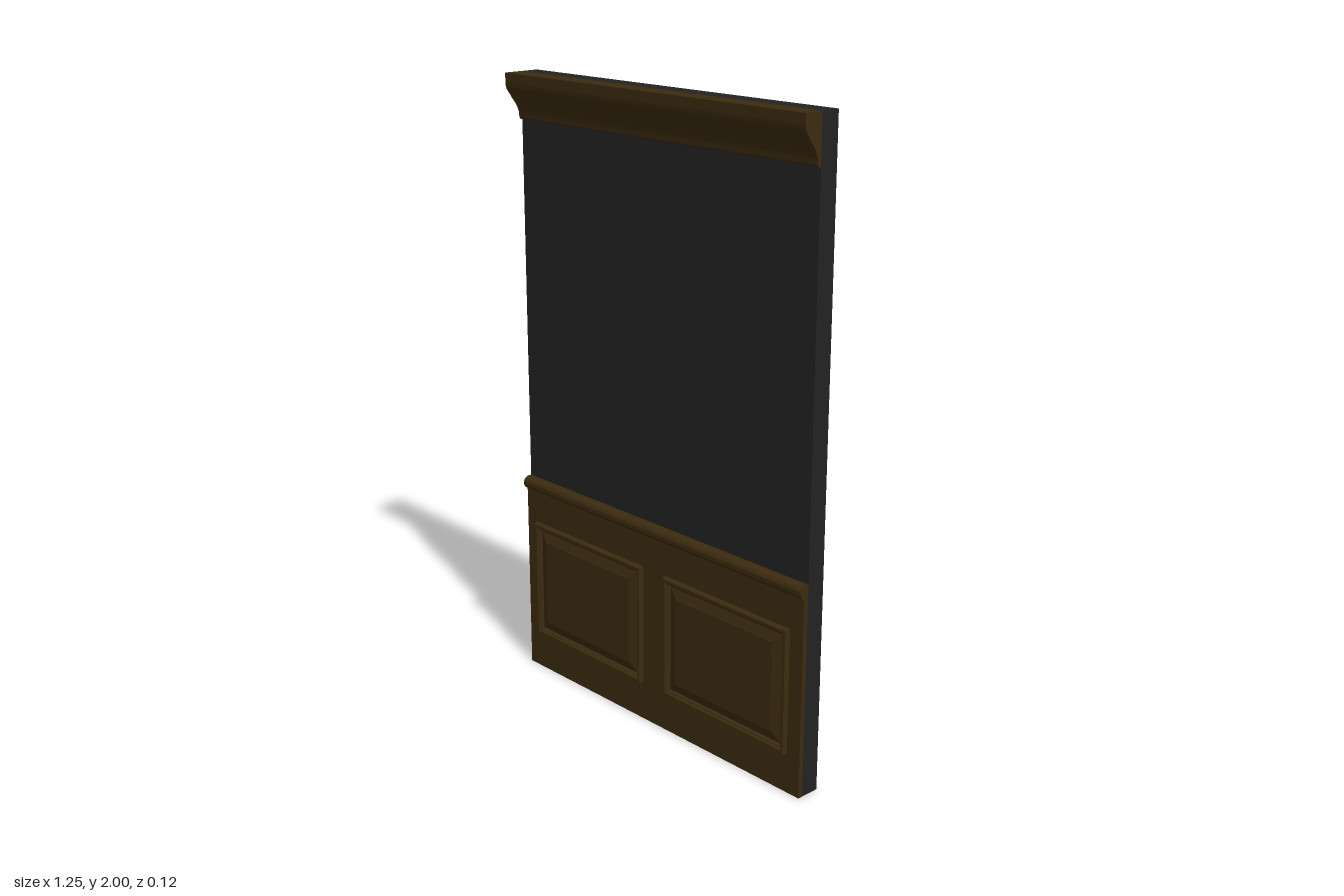
import * as THREE from 'three';
import { toCreasedNormals } from 'three/addons/utils/BufferGeometryUtils.js';

const HALF = 0.623; // half the wall width

// Extrude a (z, y) profile along the whole width
function moulding(shape) {
  const geo = new THREE.ExtrudeGeometry(shape, { depth: 2 * HALF, bevelEnabled: false, curveSegments: 10 });
  geo.rotateY(-Math.PI / 2).translate(HALF, 0, 0);
  return toCreasedNormals(geo, 0.6);
}

// Mitred rectangular panel from steps of [inset, z], closed by a flat field
function steppedPanel(width, height, steps) {
  const pos = [];
  const corners = ([inset, z]) => {
    const w = width / 2 - inset, h = height / 2 - inset;
    return [[-w, -h, z], [w, -h, z], [w, h, z], [-w, h, z]];
  };
  const quad = (a, b, c, d) => pos.push(...a, ...b, ...c, ...a, ...c, ...d);
  for (let i = 0; i < steps.length - 1; i++) {
    const outer = corners(steps[i]), inner = corners(steps[i + 1]);
    for (let k = 0; k < 4; k++) {
      const n = (k + 1) % 4;
      quad(outer[k], outer[n], inner[n], inner[k]);
    }
  }
  quad(...corners(steps[steps.length - 1]));
  const geo = new THREE.BufferGeometry();
  geo.setAttribute('position', new THREE.Float32BufferAttribute(pos, 3));
  geo.computeVertexNormals();
  return geo;
}

export function createModel() {
  const group = new THREE.Group();
  const plaster = new THREE.MeshStandardMaterial({ name: 'charcoal wall', color: 0x232323 });
  const wood = new THREE.MeshStandardMaterial({ name: 'dark wood', color: 0x3c2b0f });

  const add = (name, geo, mat, x = 0, y = 0, z = 0) => {
    const mesh = new THREE.Mesh(geo, mat);
    mesh.name = name;
    mesh.position.set(x, y, z);
    group.add(mesh);
  };

  // Wall slab and lower wainscot board
  add('wall', new THREE.BoxGeometry(2 * HALF, 2, 0.0625), plaster, 0, 1, -0.03125);
  add('wainscotBoard', new THREE.BoxGeometry(2 * HALF, 0.64, 0.016), wood, 0, 0.32, 0.008);

  // Chair rail: rounded nose over a small cove
  const rail = new THREE.Shape();
  rail.moveTo(0, 0.627);
  rail.lineTo(0.018, 0.627);
  rail.lineTo(0.018, 0.634);
  rail.absarc(0.01, 0.655, 0.0215, -1.19, Math.PI / 2, false);
  rail.lineTo(0, 0.6765);
  add('chairRail', moulding(rail), wood);

  // Crown moulding: bead, S-curve and flat top fascia
  const crown = new THREE.Shape();
  crown.moveTo(0, 1.853);
  crown.quadraticCurveTo(0.012, 1.853, 0.012, 1.866);
  crown.lineTo(0.012, 1.874);
  crown.bezierCurveTo(0.02, 1.905, 0.036, 1.915, 0.044, 1.93);
  crown.bezierCurveTo(0.053, 1.944, 0.0625, 1.95, 0.0625, 1.972);
  crown.lineTo(0.0625, 2);
  crown.lineTo(0, 2);
  add('crownMoulding', moulding(crown), wood);

  // Two raised panels, each with a moulded frame and bevelled field
  const steps = [
    [0, 0.015], [0, 0.027], [0.004, 0.032], [0.012, 0.032], [0.016, 0.027],
    [0.02, 0.025], [0.024, 0.018], [0.026, 0.018], [0.056, 0.027], [0.056, 0.029],
  ];
  for (const side of [-1, 1]) {
    add(side < 0 ? 'rightPanel' : 'leftPanel', steppedPanel(0.522, 0.4, steps), wood, side * 0.312, 0.327);
  }
  return group;
}
